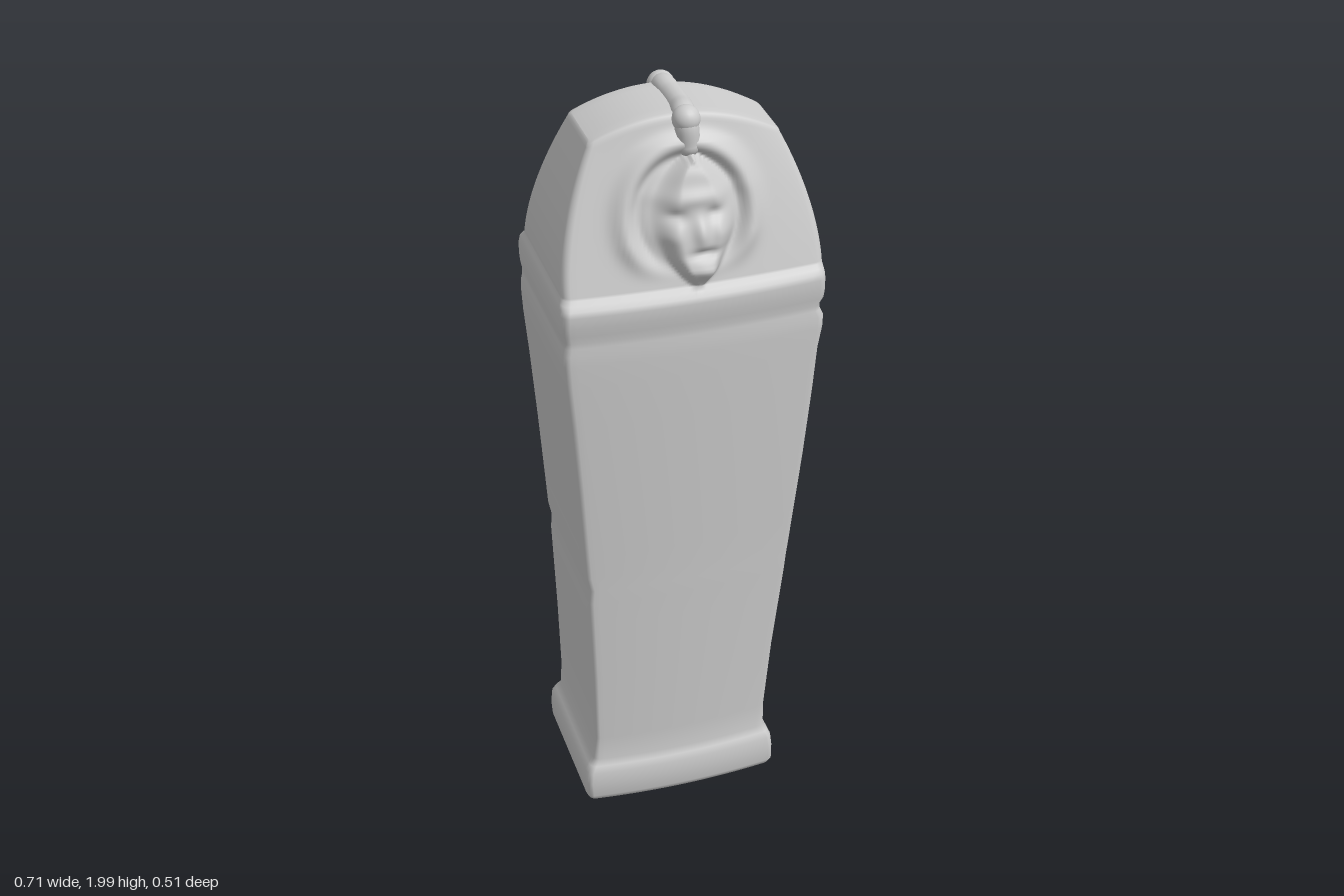
import * as THREE from 'three';

const SEGS = 72, SIDE = 20, CORNER = 5;
const gauss = (x, y, cx, cy, sx, sy) => Math.exp(-(((x - cx) / sx) ** 2) - ((y - cy) / sy) ** 2);

// Unit outline seen from above: rounded rectangle, finer in the middle of front and back
function unitOutline() {
  const pts = [], ru = 0.06, rv = 0.12;
  const corner = (su, sv, start) => {
    for (let i = 0; i <= CORNER; i++) {
      const a = start - (i / CORNER) * Math.PI / 2;
      pts.push([su * (1 - ru) + ru * Math.cos(a), sv * (1 - rv) + rv * Math.sin(a), 0]);
    }
  };
  const wide = (dir) => {
    for (let i = 1; i < SEGS; i++) {
      const s = (i / SEGS) * 2 - 1;
      pts.push([dir * s * (0.5 + 0.5 * s * s) * (1 - ru), dir, dir]);
    }
  };
  const narrow = (dir) => {
    for (let i = 1; i < SIDE; i++) pts.push([dir, dir * (1 - 2 * i / SIDE) * (1 - rv), 0]);
  };
  wide(1); corner(1, 1, Math.PI / 2); narrow(1); corner(1, -1, 0);
  wide(-1); corner(-1, -1, -Math.PI / 2); narrow(-1); corner(-1, 1, Math.PI);
  return pts;
}

// Raised face inside an arched hood
function faceRelief(x, y) {
  let h = 0;
  const f = (y - 1.55) / 0.325;
  if (f > 0 && f < 1) {
    const w = 0.12 * Math.pow(Math.sin(Math.PI * Math.pow(f, 1.15)), 0.65);
    const d = Math.min(1, Math.abs(x - 0.005) / Math.max(w, 0.001));
    h += 0.042 * THREE.MathUtils.smoothstep(1 - d, 0, 0.6) * Math.min(1, f * 6);
  }
  h += 0.016 * gauss(x, y, 0.01, 1.7, 0.02, 0.035);
  h += 0.008 * gauss(x, y, 0.02, 1.6, 0.035, 0.022);
  h -= 0.014 * gauss(x, y, 0.02, 1.647, 0.04, 0.012);
  h += 0.01 * gauss(x, y, 0, 1.785, 0.09, 0.02);
  for (const s of [-1, 1]) {
    h -= 0.013 * gauss(x, y, s * 0.05, 1.742, 0.027, 0.016);
    h += 0.008 * gauss(x, y, s * 0.065, 1.695, 0.03, 0.025);
  }
  const r = Math.hypot((x + 0.01) / 0.165, (y - 1.73) / 0.175);
  const fade = THREE.MathUtils.smoothstep(y, 1.57, 1.68);
  h += fade * (0.02 * Math.exp(-(((r - 1.02) / 0.16) ** 2)) - 0.01 * Math.exp(-(((r - 0.8) / 0.1) ** 2)));
  return h;
}

const roofY = (x) => 1.975 - 1.04 * x * x - 0.05 * x;

// Each row maps an outline point to a position
function buildRows() {
  const rows = [];
  const place = (u, v, l, r, hz) => [
    (l + r) / 2 + u * (r - l) / 2,
    v * hz * (1 - 0.07 * u - 0.09 * u * u),
  ];
  const flat = (y, l, r, hz) => rows.push(([u, v]) => {
    const [x, z] = place(u, v, l, r, hz);
    return [x, y, z];
  });

  // underside, foot moulding, tapering body and shoulder ledge: y, left, right, half depth
  [
    [0.01, -0.29, 0.225, 0], [0.01, -0.29, 0.225, 0.2], [0.005, -0.298, 0.232, 0.212],
    [0.02, -0.304, 0.239, 0.22], [0.06, -0.307, 0.239, 0.222], [0.095, -0.304, 0.235, 0.22],
    [0.113, -0.294, 0.226, 0.212], [0.13, -0.282, 0.217, 0.202], [0.2, -0.278, 0.217, 0.203],
    [0.4, -0.284, 0.235, 0.21], [0.58, -0.292, 0.257, 0.215], [0.65, -0.295, 0.265, 0.218],
    [0.69, -0.292, 0.269, 0.219], [0.73, -0.301, 0.274, 0.22], [0.8, -0.306, 0.282, 0.223],
    [1.0, -0.321, 0.305, 0.231], [1.2, -0.338, 0.325, 0.238], [1.32, -0.35, 0.335, 0.242],
    [1.38, -0.354, 0.346, 0.243], [1.41, -0.354, 0.347, 0.243], [1.43, -0.35, 0.338, 0.241],
    [1.445, -0.35, 0.336, 0.241], [1.465, -0.354, 0.347, 0.244], [1.49, -0.356, 0.349, 0.248],
    [1.52, -0.355, 0.348, 0.25], [1.535, -0.353, 0.347, 0.246], [1.545, -0.35, 0.346, 0.234],
  ].forEach((p) => flat(...p));

  // head: narrows upwards and ends along the arched roof line
  const N = 56;
  const head = (t, shrinkX, shrinkZ, drop) => rows.push(([u, v, face]) => {
    const w = Math.pow(t, 1.8);
    const [x0, z0] = place(u, v, -0.345 + 0.095 * w, 0.345 - 0.09 * w, 0.222 - 0.112 * t);
    const x = x0 * shrinkX;
    const y = 1.555 + t * (roofY(u * 0.25) - drop - 1.555);
    return [x, y, z0 * shrinkZ + (t < 1 ? face * faceRelief(x, y) * Math.min(1, (1 - t) * 8) : 0)];
  });
  for (let i = 0; i <= N; i++) head(i / N, 1, 1, 0.015);
  head(1, 0.985, 0.96, 0.005);
  head(1, 0.96, 0.88, 0);
  for (const s of [0.6, 0.3, 0]) head(1, 0.96, s, 0);
  return rows;
}

function loft(outline, rows) {
  const n = outline.length, pos = [], idx = [];
  rows.forEach((row) => outline.forEach((p) => pos.push(...row(p))));
  for (let j = 0; j < rows.length - 1; j++) {
    for (let i = 0; i < n; i++) {
      const a = j * n + i, b = j * n + (i + 1) % n;
      idx.push(a, b, b + n, a, b + n, a + n);
    }
  }
  const geo = new THREE.BufferGeometry();
  geo.setAttribute('position', new THREE.Float32BufferAttribute(pos, 3));
  geo.setIndex(idx);
  geo.computeVertexNormals();
  return geo;
}

export function createModel() {
  const group = new THREE.Group();
  const mat = new THREE.MeshStandardMaterial({ color: 0xcccccc, roughness: 0.8 });
  const add = (name, geo) => {
    const mesh = new THREE.Mesh(geo, mat);
    mesh.name = name;
    group.add(mesh);
    return mesh;
  };

  add('coffinBody', loft(unitOutline(), buildRows()));

  // crest running over the roof, hanging above the faces
  const path = new THREE.CatmullRomCurve3([
    [0.004, 1.895, 0.118], [0, 1.95, 0.117], [0, 1.967, 0.095], [0.006, 1.964, 0.04],
    [0.006, 1.964, -0.04], [0, 1.967, -0.095], [0, 1.95, -0.117], [0.004, 1.895, -0.118],
  ].map((p) => new THREE.Vector3(...p)));
  add('crest', new THREE.TubeGeometry(path, 60, 0.031, 16));
  for (const s of [-1, 1]) {
    const tip = add('crestTip', new THREE.SphereGeometry(0.031, 16, 12));
    tip.position.set(0.004, 1.895, s * 0.118);
    const knob = add('crestKnob', new THREE.SphereGeometry(0.036, 20, 14));
    knob.position.set(0, 1.962, s * 0.114);
  }
  return group;
}
